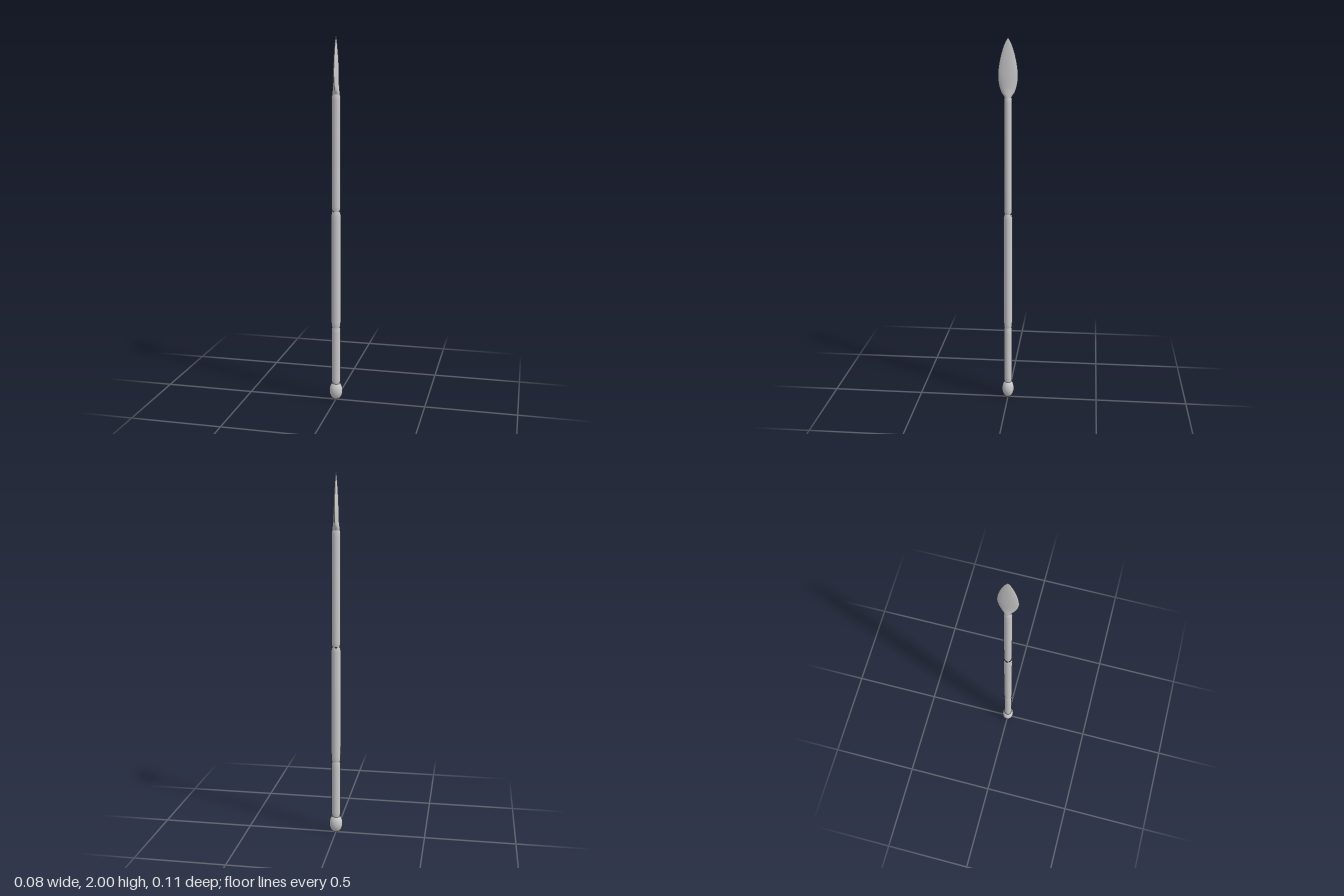
import * as THREE from 'three';

const material = new THREE.MeshStandardMaterial({ color: 0xcccccc });

function addMesh(group, name, geometry) {
  const mesh = new THREE.Mesh(geometry, material);
  mesh.name = name;
  group.add(mesh);
  return mesh;
}

// One length of shaft with softly rounded ends, slightly oval in section
function shaftSection(y0, y1, radius, neck) {
  const points = [
    [neck, y0], [radius * 0.96, y0 + 0.012], [radius, y0 + 0.03],
    [radius, (y0 + y1) / 2],
    [radius, y1 - 0.03], [radius * 0.96, y1 - 0.012], [neck, y1],
  ].map(([r, y]) => new THREE.Vector2(r, y));
  return new THREE.LatheGeometry(points, 28).scale(1, 1, 0.9);
}

// Leaf blade: turned outline, flattened in x to a lens section
function bladeGeometry() {
  const outline = new THREE.SplineCurve([
    [0.018, 1.675], [0.019, 1.695], [0.036, 1.722], [0.048, 1.76], [0.053, 1.805],
    [0.048, 1.86], [0.035, 1.92], [0.018, 1.97], [0.0005, 2],
  ].map(([r, y]) => new THREE.Vector2(r, y)));
  const thickness = new THREE.SplineCurve([
    [0.022, 1.675], [0.021, 1.70], [0.0155, 1.74], [0.0135, 1.80],
    [0.0105, 1.87], [0.006, 1.94], [0.0005, 2],
  ].map(([r, y]) => new THREE.Vector2(r, y)));
  const samples = thickness.getPoints(60);
  const halfThickness = (y) => {
    const i = Math.max(1, samples.findIndex((p) => p.y >= y - 1e-6));
    const a = samples[i - 1], b = samples[i];
    return THREE.MathUtils.mapLinear(y, a.y, b.y, a.x, b.x);
  };
  const geometry = new THREE.LatheGeometry(outline.getPoints(32), 28);
  const position = geometry.attributes.position;
  for (let i = 0; i < position.count; i++) {
    const x = position.getX(i), y = position.getY(i), z = position.getZ(i);
    const s = x / Math.max(Math.hypot(x, z), 1e-6);
    // Thin out toward the cutting edges above the socket
    const lens = THREE.MathUtils.smoothstep(y, 1.69, 1.76) * 0.35;
    position.setX(i, s * Math.pow(Math.abs(s), lens) * halfThickness(y));
  }
  geometry.computeVertexNormals();
  return geometry;
}

export function createModel() {
  const group = new THREE.Group();
  group.name = 'spear';

  // Egg-shaped butt
  const butt = addMesh(group, 'butt', new THREE.SphereGeometry(1, 28, 18));
  butt.scale.set(0.038, 0.053, 0.034);
  butt.position.y = 0.053;

  // Shaft in three lengths, pinched where they meet
  [
    ['lowerShaft', 0.095, 0.42, 0.0255, 0.023],
    ['gripShaft', 0.42, 1.07, 0.0265, 0.023],
    ['upperShaft', 1.07, 1.695, 0.0245, 0.021],
  ].forEach(([name, y0, y1, radius, neck]) => addMesh(group, name, shaftSection(y0, y1, radius, neck)));

  // Blade, broad in z
  addMesh(group, 'blade', bladeGeometry());

  return group;
}
